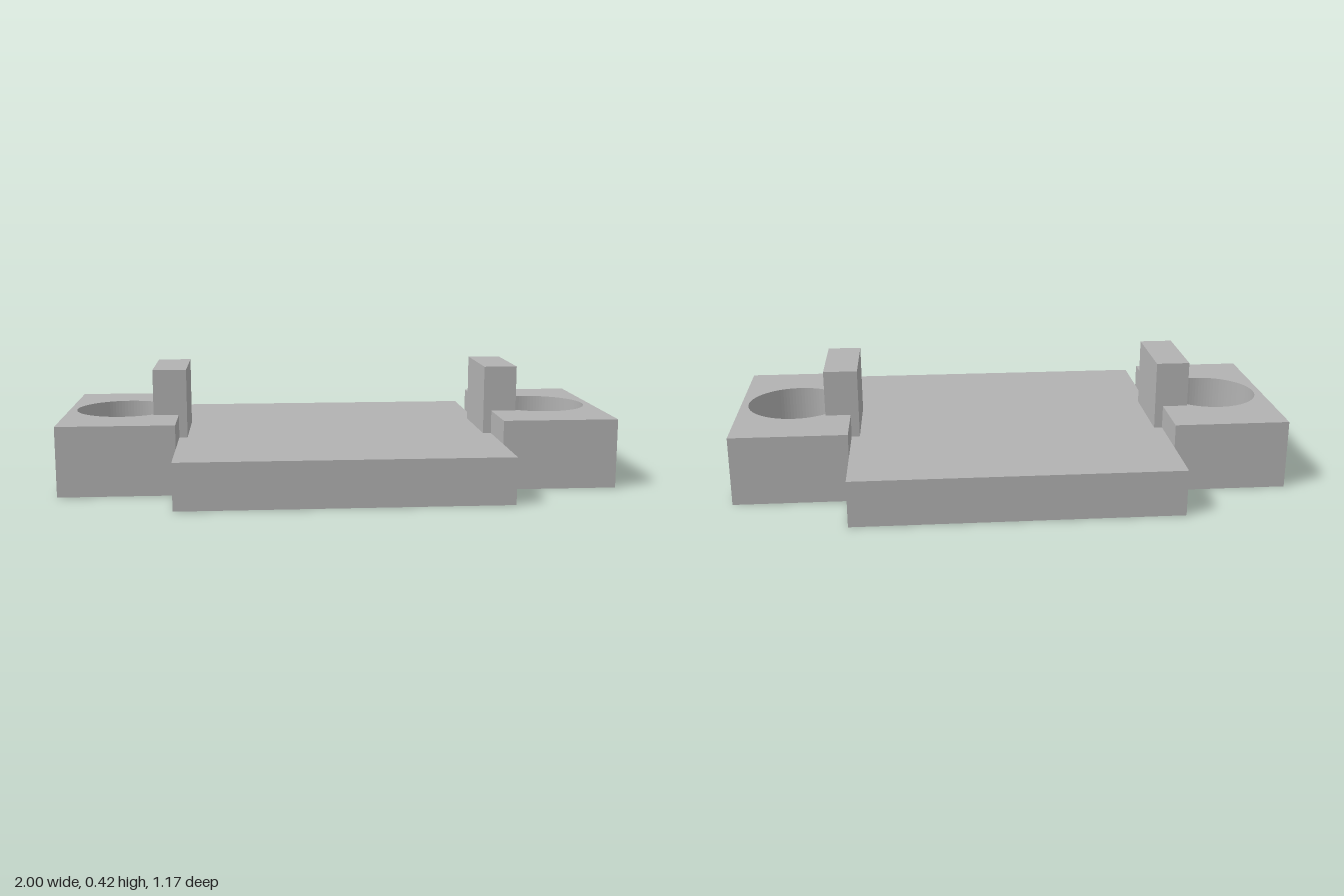
import * as THREE from 'three';

const PLATE = 0.583;        // half side of the square plate
const PLATE_TOP = 0.167;
const TAB_TOP = 0.252;
const TAB_HALF_DEPTH = 0.364;

function box(name, material, [x0, x1], [y0, y1], [z0, z1]) {
  const mesh = new THREE.Mesh(new THREE.BoxGeometry(x1 - x0, y1 - y0, z1 - z0), material);
  mesh.position.set((x0 + x1) / 2, (y0 + y1) / 2, (z0 + z1) / 2);
  mesh.name = name;
  return mesh;
}

// End tab with a vertical bolt hole, drawn in plan and extruded upwards
function tabGeometry() {
  const shape = new THREE.Shape();
  shape.moveTo(PLATE, -TAB_HALF_DEPTH);
  shape.lineTo(1, -TAB_HALF_DEPTH);
  shape.lineTo(1, TAB_HALF_DEPTH);
  shape.lineTo(PLATE, TAB_HALF_DEPTH);
  shape.closePath();
  const hole = new THREE.Path();
  hole.absarc(0.793, 0, 0.18, 0, Math.PI * 2, true);
  shape.holes.push(hole);
  const geometry = new THREE.ExtrudeGeometry(shape, {
    depth: TAB_TOP, bevelEnabled: false, curveSegments: 48,
  });
  return geometry.rotateX(-Math.PI / 2);
}

export function createModel() {
  const grey = new THREE.MeshStandardMaterial({ color: 0xb2b2b2 });
  grey.name = 'plain grey';

  const model = new THREE.Group();
  model.name = 'mountingBase';
  model.add(box('basePlate', grey, [-PLATE, PLATE], [0, PLATE_TOP], [-PLATE, PLATE]));

  // Both ends are the same, turned half a circle about the centre
  const geometry = tabGeometry();
  for (const side of ['left', 'right']) {
    const end = new THREE.Group();
    end.name = side + 'End';
    const tab = new THREE.Mesh(geometry, grey);
    tab.name = side + 'Tab';
    // The stop block reaches down into the edge of the hole
    const stop = box(side + 'StopBlock', grey, [0.553, 0.675], [0.085, 0.419], [-0.154, 0.154]);
    end.add(tab, stop);
    if (side === 'right') end.rotation.y = Math.PI;
    model.add(end);
  }
  return model;
}
